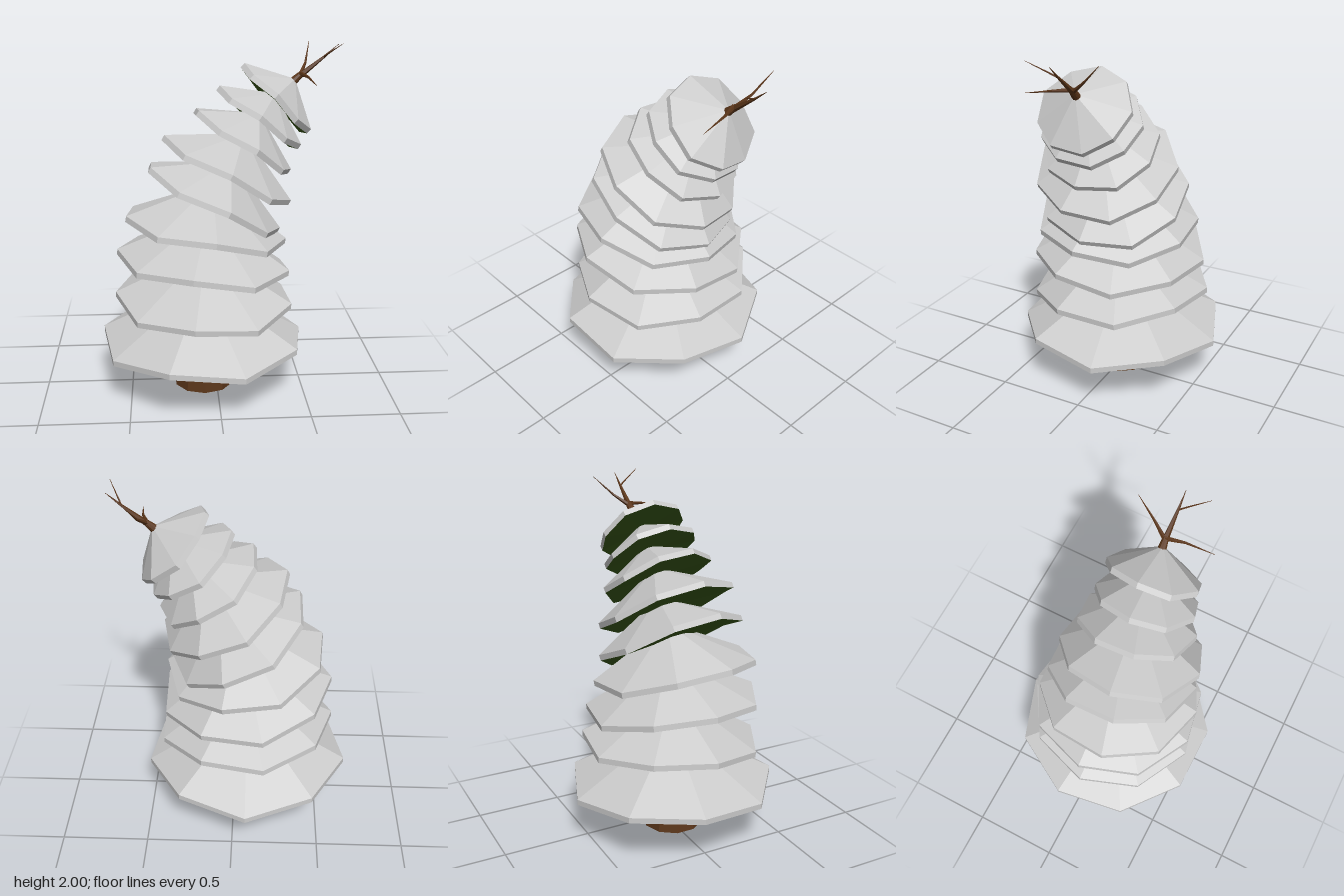
import * as THREE from 'three';

const mat = (color) => new THREE.MeshStandardMaterial({ color, flatShading: true });
const snowMat = mat(0xcccccc), greenMat = mat(0x3a5a18), barkMat = mat(0x5a3519);
const SIDES = 9;

function facets(tris) {
  const g = new THREE.BufferGeometry().setFromPoints(tris);
  g.computeVertexNormals();
  return g;
}

// One tier: snowy cone with a zigzag rim, and a slightly hollow green underside
function makeTier(radius, height, phase) {
  const thick = 0.032;
  const rim = (k, drop) => {
    k %= SIDES;
    const a = phase + (k / SIDES) * Math.PI * 2;
    const wave = (k % 2 ? -0.036 : 0.03) * radius;
    return new THREE.Vector3(-Math.cos(a) * radius, wave - drop, Math.sin(a) * radius);
  };
  const apex = new THREE.Vector3(0, height, 0), under = new THREE.Vector3(0, -thick / 2, 0);
  const top = [], bottom = [];
  for (let k = 0; k < SIDES; k++) {
    const a = rim(k, 0), b = rim(k + 1, 0), c = rim(k, thick), d = rim(k + 1, thick);
    top.push(apex, a, b, a, c, d, a, d, b);
    bottom.push(under, d, c);
  }
  const tier = new THREE.Group();
  const snow = new THREE.Mesh(facets(top), snowMat);
  snow.name = 'snow';
  const needles = new THREE.Mesh(facets(bottom), greenMat);
  needles.name = 'needles';
  tier.add(snow, needles);
  return tier;
}

// Tapered, capped limb through rings given as [x, y, z, radius]
function makeLimb(name, rings, sides, level = false) {
  const pts = rings.map((r) => new THREE.Vector3(r[0], r[1], r[2]));
  const loops = pts.map((p, i) => {
    const dir = pts[Math.min(i + 1, pts.length - 1)].clone().sub(pts[Math.max(i - 1, 0)]).normalize();
    if (level && i === 0) dir.set(0, 1, 0);
    const q = new THREE.Quaternion().setFromUnitVectors(new THREE.Vector3(0, 1, 0), dir);
    return Array.from({ length: sides }, (_, k) => {
      const a = ((k + 0.5) / sides) * Math.PI * 2;
      return new THREE.Vector3(-Math.cos(a), 0, Math.sin(a)).multiplyScalar(rings[i][3]).applyQuaternion(q).add(p);
    });
  });
  const tris = [], last = loops.length - 1;
  for (let k = 0; k < sides; k++) {
    const n = (k + 1) % sides;
    for (let i = 0; i < last; i++) {
      const lo = loops[i], hi = loops[i + 1];
      tris.push(hi[k], lo[k], lo[n], hi[k], lo[n], hi[n]);
    }
    tris.push(pts[0], loops[0][n], loops[0][k], pts[last], loops[last][k], loops[last][n]);
  }
  const mesh = new THREE.Mesh(facets(tris), barkMat);
  mesh.name = name;
  return mesh;
}

export function createModel() {
  const tree = new THREE.Group();
  tree.name = 'leaningSnowyTree';

  // Tiers: x, y, z, radius, then degrees: lean towards +x, backward dip, turn
  const tiers = [
    [-0.077, 0.3, 0.01, 0.597, 0, 0, -10],
    [-0.068, 0.55, 0.01, 0.515, 2, -3, 2],
    [-0.07, 0.775, 0.02, 0.5, 6, 3, 1],
    [-0.065, 0.97, 0.033, 0.465, 10, 5, 15],
    [-0.018, 1.14, 0.03, 0.42, 27, 7, 20],
    [0.055, 1.31, 0.045, 0.4, 28, 7, 10],
    [0.145, 1.467, 0.03, 0.32, 33, 7, 22],
    [0.237, 1.6, 0.035, 0.278, 36, 6, 5],
    [0.332, 1.7, 0.025, 0.258, 45, 5, 1],
  ];
  const rad = THREE.MathUtils.degToRad;
  tiers.forEach(([x, y, z, radius, lean, dip, turn], i) => {
    const tier = makeTier(radius, radius * 0.55, rad(turn));
    tier.name = 'tier' + (i + 1);
    tier.position.set(x, y, z);
    tier.rotation.set(rad(-dip), 0, rad(-lean));
    tree.add(tier);
  });

  // Trunk bends along the middle of the tiers
  tree.add(makeLimb('trunk', [
    [-0.075, 0, 0.02, 0.175], [-0.06, 0.3, 0.02, 0.145], [-0.06, 0.8, 0.02, 0.1],
    [0.0, 1.15, 0.03, 0.07], [0.15, 1.48, 0.03, 0.05], [0.33, 1.7, 0.02, 0.03],
    [0.42, 1.785, 0.015, 0.024], [0.47, 1.83, 0.012, 0.016],
  ], 10, true));

  // Bare twigs at the tip
  const twigs = {
    leadTwig: [[0.45, 1.81, 0.012, 0.018], [0.59, 1.92, 0.015, 0.007], [0.665, 1.985, 0.015, 0.001]],
    backTwig: [[0.46, 1.82, 0.01, 0.013], [0.5, 1.88, -0.07, 0.007], [0.535, 1.985, -0.18, 0.001]],
    frontTwig: [[0.46, 1.83, 0.01, 0.013], [0.49, 1.82, 0.11, 0.007], [0.51, 1.795, 0.265, 0.001]],
    sideTwig: [[0.585, 1.917, 0.015, 0.005], [0.61, 1.945, 0.06, 0.004], [0.66, 2.0, 0.155, 0.001]],
  };
  for (const [name, rings] of Object.entries(twigs)) tree.add(makeLimb(name, rings, 5));

  return tree;
}
